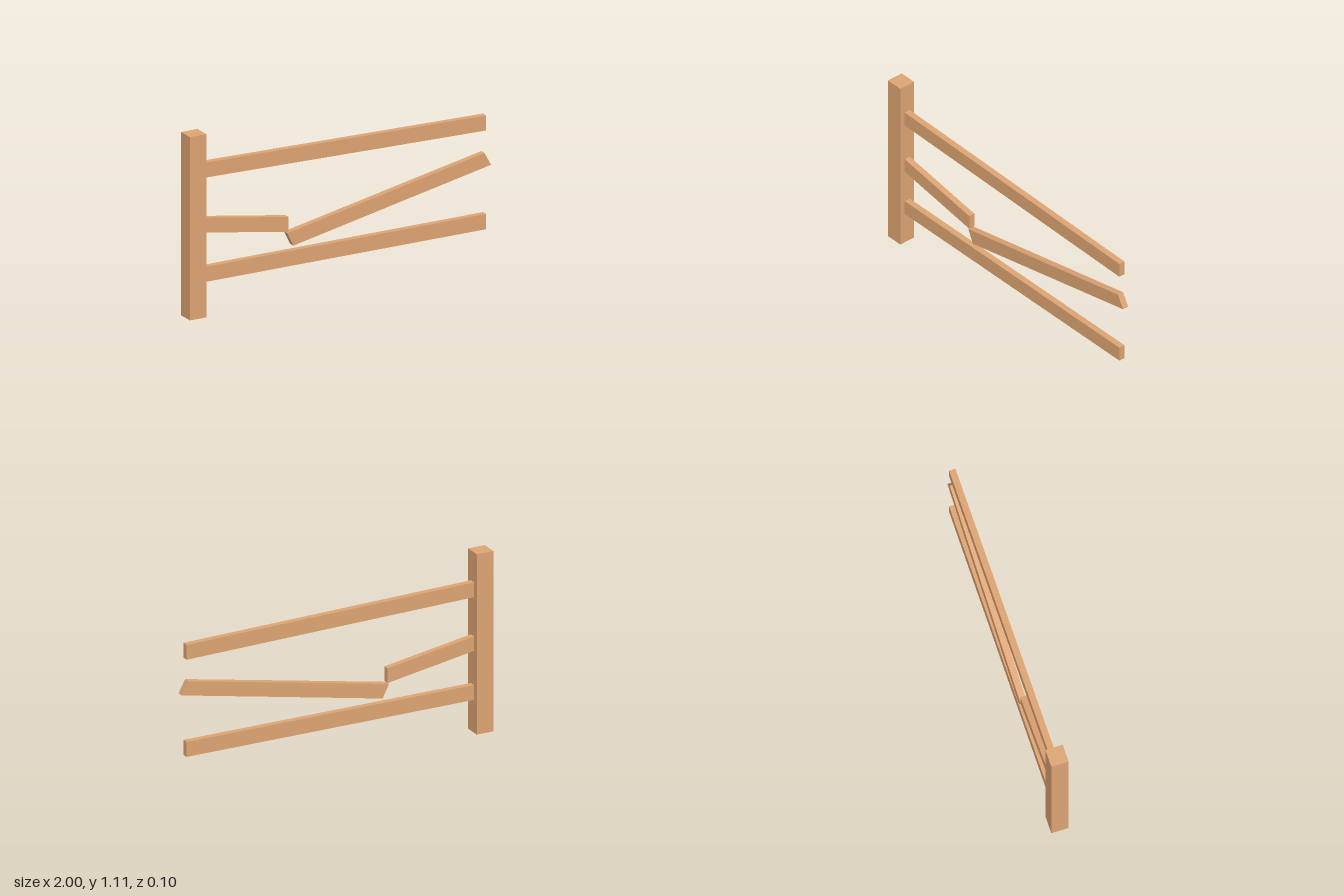
import * as THREE from 'three';

const RAIL_DEPTH = 0.038;

export function createModel() {
  const fence = new THREE.Group();
  fence.name = 'brokenFence';
  const wood = new THREE.MeshStandardMaterial({ color: 0xdca372, flatShading: true });
  wood.name = 'wood';

  // Plank cut from a side outline and centred on z = 0
  function addPlank(name, outline, depth = RAIL_DEPTH) {
    const shape = new THREE.Shape(outline.map(([x, y]) => new THREE.Vector2(x, y)));
    const geometry = new THREE.ExtrudeGeometry(shape, { depth, bevelEnabled: false });
    geometry.translate(0, 0, -depth / 2);
    const mesh = new THREE.Mesh(geometry, wood);
    mesh.name = name;
    fence.add(mesh);
  }

  // Upright post
  addPlank('post', [[-1, 0], [-0.892, 0], [-0.892, 1.108], [-1, 1.108]], 0.104);

  // Whole rails, the upper one sagging at its free end
  addPlank('topRail', [[-0.892, 0.833], [0.968, 0.797], [0.968, 0.888], [-0.892, 0.924]]);
  addPlank('bottomRail', [[-0.892, 0.202], [0.968, 0.2], [0.968, 0.292], [-0.892, 0.293]]);

  // Snapped middle rail: fixed stub and fallen piece
  addPlank('middleRailStub', [[-0.892, 0.503], [-0.332, 0.41], [-0.332, 0.5], [-0.892, 0.592]]);
  addPlank('middleRailBroken', [[-0.301, 0.321], [1, 0.584], [0.957, 0.663], [-0.341, 0.403]]);

  return fence;
}
